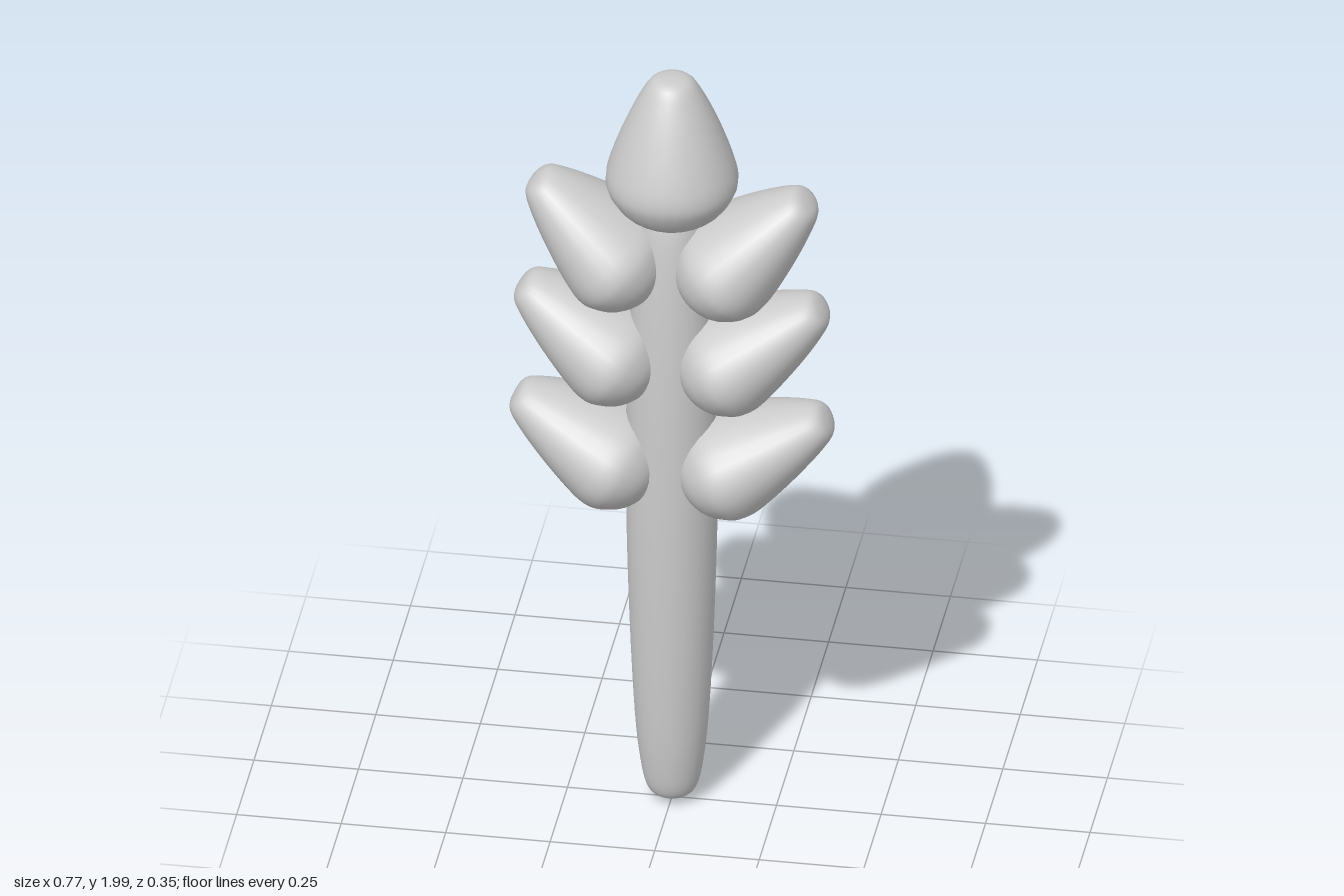
import * as THREE from 'three';

const material = new THREE.MeshStandardMaterial({ color: 0xcccccc });

// Smooth lathe through [radius, height] points, listed bottom to top
function turned(name, points, steps) {
  const curve = new THREE.SplineCurve(points.map(([r, y]) => new THREE.Vector2(r, y)));
  const profile = curve.getPoints(steps);
  profile.forEach((p) => { p.x = Math.max(p.x, 0); });
  const mesh = new THREE.Mesh(new THREE.LatheGeometry(profile, 28), material);
  mesh.name = name;
  return mesh;
}

// Teardrop grain: origin at the centre of its belly, blunt tip along +y
const grainProfile = [
  [0, -0.12], [0.06, -0.112], [0.115, -0.08], [0.148, -0.035], [0.157, 0.005],
  [0.145, 0.06], [0.112, 0.15], [0.075, 0.23], [0.045, 0.272], [0, 0.28],
];

export function createModel() {
  const model = new THREE.Group();
  model.name = 'grainEar';

  // Stalk, tapering to a small point at the foot
  model.add(turned('stalk', [
    [0, 0.01], [0.035, 0.025], [0.06, 0.05], [0.075, 0.12], [0.088, 0.25],
    [0.1, 0.5], [0.108, 0.8], [0.108, 1.1], [0.1, 1.35], [0.085, 1.55], [0.06, 1.65], [0, 1.68],
  ], 44));

  // Upright grain at the top
  const topGrain = turned('topGrain', grainProfile, 36);
  topGrain.position.y = 1.72;
  model.add(topGrain);

  // Three mirrored pairs of side grains: belly x, belly y, rise of the axis in degrees
  const tiers = [[0.135, 0.95, 31], [0.135, 1.235, 36], [0.13, 1.495, 45]];
  tiers.forEach(([x, y, rise], i) => {
    for (const side of [1, -1]) {
      const grain = turned(`${side > 0 ? 'left' : 'right'}Grain${i + 1}`, grainProfile, 36);
      grain.scale.set(0.83, 1, 1.11);
      grain.position.set(side * x, y, 0);
      grain.rotation.z = -side * THREE.MathUtils.degToRad(90 - rise);
      model.add(grain);
    }
  });

  return model;
}
